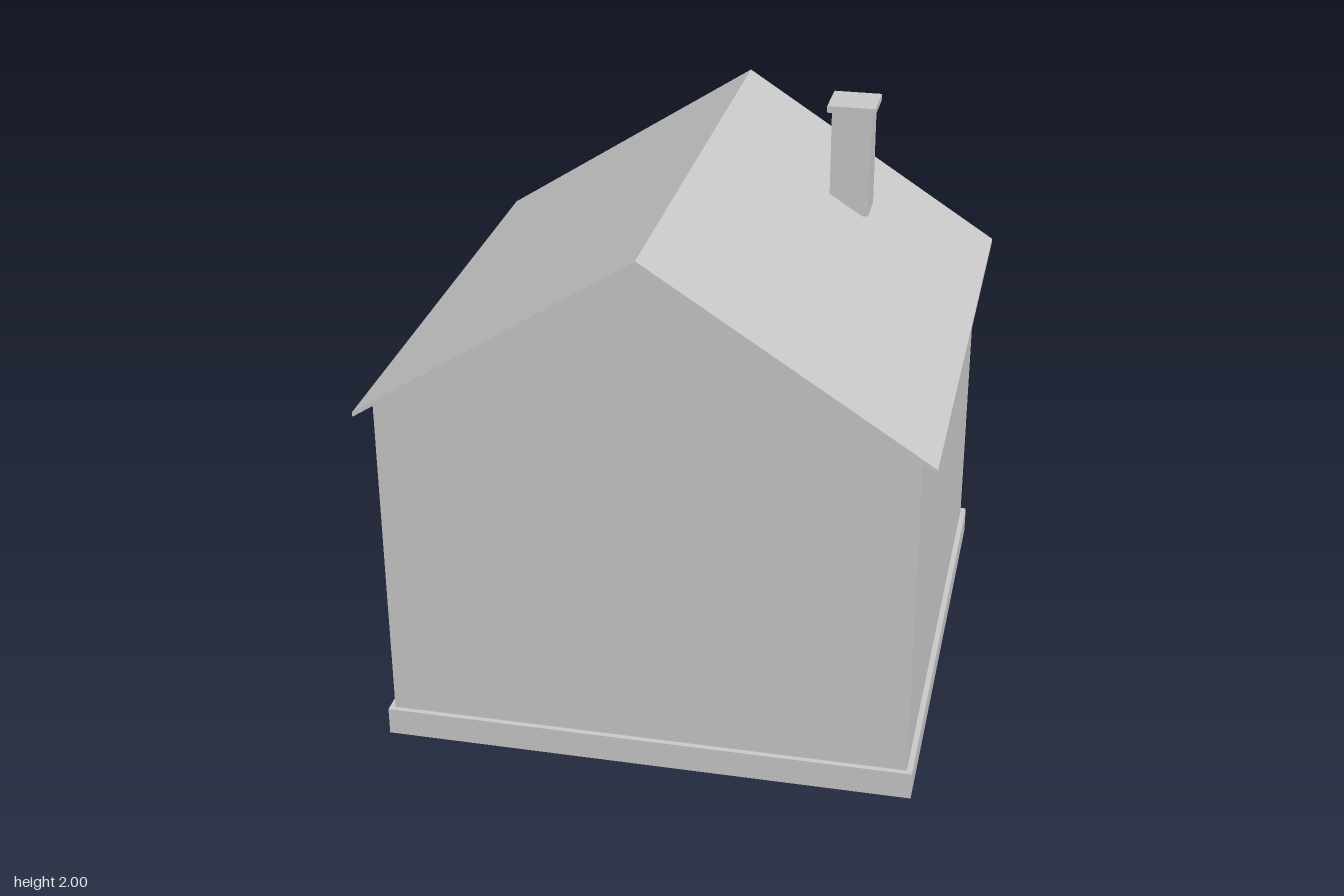
import * as THREE from 'three';

export function createModel() {
  const group = new THREE.Group();
  const plaster = new THREE.MeshStandardMaterial({ color: 0xc8c8c8 });
  plaster.name = 'plain grey';

  const add = (name, geometry) => {
    const mesh = new THREE.Mesh(geometry, plaster);
    mesh.name = name;
    group.add(mesh);
    return mesh;
  };

  // Box given by its size, its centre in x and z, and its underside
  const addBox = (name, w, h, d, x, bottom, z) =>
    add(name, new THREE.BoxGeometry(w, h, d)).position.set(x, bottom + h / 2, z);

  // Front outline extruded along z, centred on z = 0
  const addPrism = (name, points, depth) => {
    const shape = new THREE.Shape(points.map(([x, y]) => new THREE.Vector2(x, y)));
    const geometry = new THREE.ExtrudeGeometry(shape, { depth, bevelEnabled: false });
    add(name, geometry.translate(0, 0, -depth / 2));
  };

  // Plinth under the walls
  addBox('foundation', 1.865, 0.1, 1.865, 0, 0, 0);

  // Walls with gable ends
  addPrism('walls', [
    [-0.913, 0.1], [0.913, 0.1], [0.913, 1.3], [0, 1.904], [-0.913, 1.3],
  ], 1.826);

  // Thin folded roof that overhangs all round
  addPrism('roof', [
    [-0.966, 1.28], [0, 1.905], [0.966, 1.28],
    [0.966, 1.297], [0, 1.921], [-0.966, 1.297],
  ], 1.932);

  // Chimney and its cap
  addBox('chimney', 0.143, 0.395, 0.143, 0.475, 1.582, -0.459);
  addBox('chimneyCap', 0.174, 0.025, 0.174, 0.475, 1.975, -0.459);

  return group;
}
